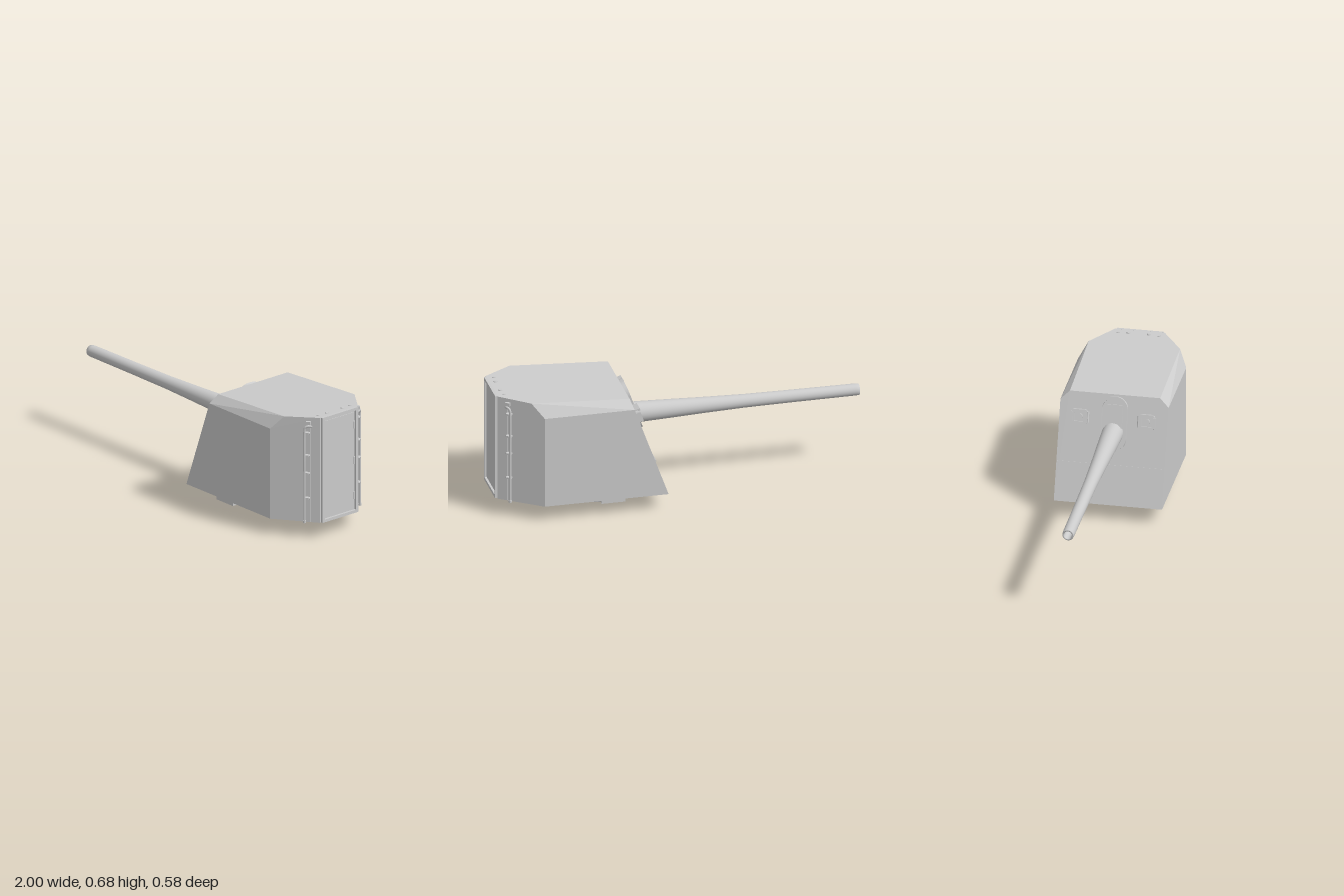
import * as THREE from 'three';
import { ConvexGeometry } from 'three/addons/geometries/ConvexGeometry.js';

const V = (x, y, z) => new THREE.Vector3(x, y, z);
const grey = new THREE.MeshStandardMaterial({ color: 0xcccccc });
const flat = new THREE.MeshStandardMaterial({ color: 0xcccccc, flatShading: true });

function add(parent, name, geo, x = 0, y = 0, z = 0, mat = grey) {
  const m = new THREE.Mesh(geo, mat);
  m.name = name;
  m.position.set(x, y, z);
  parent.add(m);
  return m;
}
const box = (w, h, d) => new THREE.BoxGeometry(w, h, d);

// Group whose local z points out of a wall and local y runs up it
function wallGroup(parent, name, origin, up, normal) {
  const g = new THREE.Group();
  g.name = name;
  const right = up.clone().cross(normal);
  g.quaternion.setFromRotationMatrix(new THREE.Matrix4().makeBasis(right, up, normal));
  g.position.copy(origin);
  parent.add(g);
  return g;
}

// Rounded rectangle outline
function roundRect(target, w, h, r, cy = 0) {
  const a = w / 2, b = h / 2;
  target.absarc(a - r, cy + b - r, r, 0, Math.PI / 2);
  target.absarc(-a + r, cy + b - r, r, Math.PI / 2, Math.PI);
  target.absarc(-a + r, cy - b + r, r, Math.PI, Math.PI * 1.5);
  target.absarc(a - r, cy - b + r, r, Math.PI * 1.5, Math.PI * 2);
  target.closePath();
  return target;
}
function frame(w, h, r, rim, depth) {
  const s = roundRect(new THREE.Shape(), w, h, r);
  s.holes.push(roundRect(new THREE.Path(), w - 2 * rim, h - 2 * rim, Math.max(r - rim, 0.002)));
  return new THREE.ExtrudeGeometry(s, { depth, bevelEnabled: false, curveSegments: 10 });
}

export function createModel() {
  const root = new THREE.Group();
  root.name = 'gunTurret';

  // Armoured housing: sloped front, chamfered roof edges, tapered rear
  const pts = [];
  for (const s of [1, -1]) {
    pts.push(
      V(0.1, 0.087, s * 0.29), V(0.77, 0.087, s * 0.29), V(0.988, 0.087, s * 0.133),
      V(0.284, 0.595, s * 0.29), V(0.77, 0.595, s * 0.29),
      V(0.3, 0.64, s * 0.242), V(0.832, 0.671, s * 0.245), V(0.988, 0.679, s * 0.133));
  }
  add(root, 'housing', new ConvexGeometry(pts), 0, 0, 0, flat);

  // Gun barrel with a hollow muzzle, along -x
  const profile = [[0.0, 0.12], [0.022, 0.12], [0.022, 0], [0.03, 0], [0.032, 0.02], [0.0335, 0.35],
    [0.036, 0.62], [0.043, 0.85], [0.05, 1.03], [0.056, 1.2], [0.057, 1.32]];
  const barrel = add(root, 'barrel', new THREE.LatheGeometry(
    profile.map(([r, h]) => new THREE.Vector2(r, h)), 32), -1, 0.446, 0,
    new THREE.MeshStandardMaterial({ color: 0xcccccc, side: THREE.DoubleSide }));
  barrel.rotation.z = -Math.PI / 2;

  // Fittings on the sloping front plate
  const up = V(0.2, 0.553, 0).normalize();
  const front = wallGroup(root, 'frontPlate', V(0.1, 0.087, 0), up, V(-up.y, up.x, 0));
  add(front, 'gunSlotFrame', frame(0.15, 0.288, 0.065, 0.014, 0.026), 0, 0.434, -0.004);
  add(front, 'gunShield', box(0.096, 0.2, 0.02), 0, 0.434, 0.004);
  add(front, 'frontRib', box(0.57, 0.008, 0.008), 0, 0.21, 0.002);
  for (const s of [1, -1]) {
    // Sighting port: frame, hood, lens and hinge pins
    const port = new THREE.Group();
    port.name = 'sightPort';
    port.position.set(s * 0.18, 0.455, 0);
    front.add(port);
    add(port, 'portFrame', frame(0.085, 0.075, 0.012, 0.014, 0.018));
    add(port, 'portHood', box(0.07, 0.012, 0.036), 0, 0.036, 0.015);
    add(port, 'portFlap', box(0.012, 0.055, 0.028), s * 0.042, 0, 0.014);
    const lens = add(port, 'portLens', new THREE.CylinderGeometry(0.017, 0.017, 0.016, 16), 0, 0, 0.006);
    lens.rotation.x = Math.PI / 2;
    add(port, 'portHinge', new THREE.CylinderGeometry(0.006, 0.006, 0.06, 10), -s * 0.045, 0, 0.008);
  }

  // Rear door with a raised surround
  const rear = wallGroup(root, 'rearDoor', V(0.986, 0.383, 0), V(0, 1, 0), V(1, 0, 0));
  add(rear, 'doorSurround', frame(0.25, 0.592, 0.002, 0.016, 0.014));
  add(rear, 'doorPanel', box(0.2, 0.54, 0.006), 0, 0, 0.002);
  for (const y of [-0.2, 0, 0.2]) {
    add(rear, 'doorHinge', new THREE.CylinderGeometry(0.005, 0.005, 0.04, 10), 0.103, y, 0.006);
  }

  // Vertical pipes clipped to the tapered rear walls
  const k = Math.hypot(0.218, 0.157);
  for (const s of [1, -1]) {
    const wall = wallGroup(root, s > 0 ? 'leftPipework' : 'rightPipework', V(0.77, 0, s * 0.29),
      V(0, 1, 0), V(0.157 / k, 0, s * 0.218 / k));
    const path = new THREE.CatmullRomCurve3([V(s * 0.19, 0.09, 0.018), V(s * 0.19, 0.35, 0.018),
      V(s * 0.19, 0.6, 0.018), V(s * 0.192, 0.622, 0.018), V(s * 0.2, 0.63, 0.017),
      V(s * 0.216, 0.632, 0.012), V(s * 0.222, 0.625, -0.002)]);
    add(wall, 'pipe', new THREE.TubeGeometry(path, 48, 0.0065, 10));
    add(wall, 'pipeFoot', new THREE.CylinderGeometry(0.009, 0.009, 0.012, 12), s * 0.19, 0.094, 0.018);
    add(wall, 'coverStrip', box(0.008, 0.54, 0.008), s * 0.214, 0.36, 0.002);
    for (const y of [0.225, 0.365, 0.465, 0.592]) {
      add(wall, 'pipeClip', box(0.028, 0.009, 0.022), s * 0.199, y, 0.01);
      add(wall, 'clipBolt', new THREE.SphereGeometry(0.007, 10, 8), s * 0.212, y, 0.01);
    }
    add(wall, 'topBracket', box(0.024, 0.018, 0.018), s * 0.208, 0.648, 0.006);
  }

  // Roof lugs
  for (const s of [1, -1]) {
    add(root, 'roofLug', new THREE.CylinderGeometry(0.01, 0.012, 0.008, 12), 0.955, 0.678, s * 0.055);
    add(root, 'roofLug', new THREE.CylinderGeometry(0.009, 0.009, 0.008, 12), 0.95, 0.676, s * 0.11);
  }

  // Tapered pedestal with side foot platforms under the housing
  add(root, 'pedestal', new THREE.CylinderGeometry(0.145, 0.115, 0.09, 24), 0.427, 0.045, 0);
  for (const s of [1, -1]) {
    const step = new THREE.Group();
    step.name = 'footPlatform';
    step.position.set(0.395, 0.075, s * 0.2);
    root.add(step);
    for (const e of [1, -1]) {
      add(step, 'platformRail', box(0.014, 0.02, 0.16), e * 0.058, 0, 0);
      add(step, 'platformEnd', box(0.13, 0.02, 0.014), 0, 0, e * 0.073);
    }
    add(step, 'platformPlate', box(0.11, 0.008, 0.14), 0, 0.004, 0);
  }
  return root;
}
